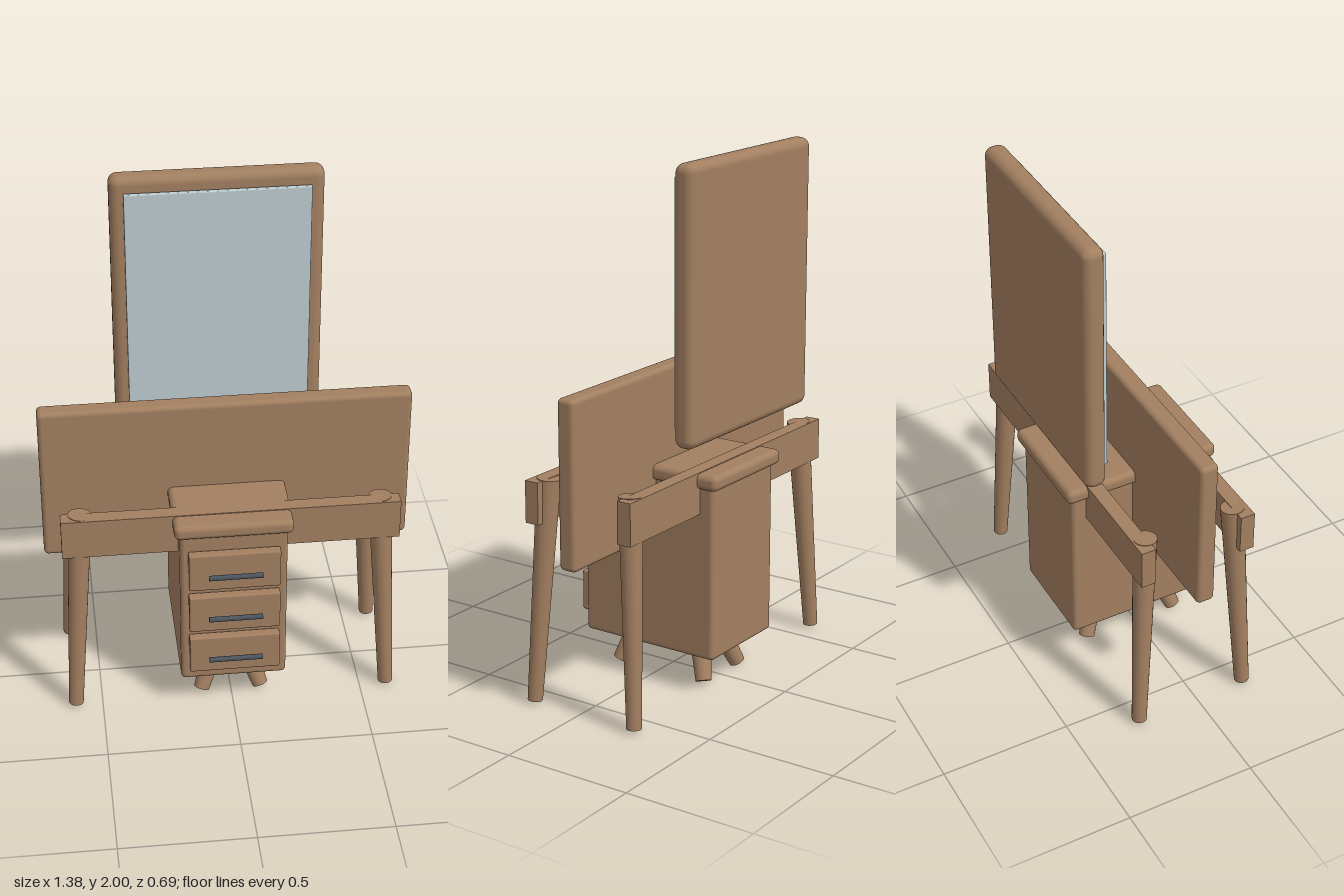
import * as THREE from 'three';
import { RoundedBoxGeometry } from 'three/addons/geometries/RoundedBoxGeometry.js';

function material(name, color) {
  const m = new THREE.MeshStandardMaterial({ color });
  m.name = name;
  return m;
}

export function createModel() {
  const model = new THREE.Group();
  model.name = 'dressingTable';
  const wood = material('wood', 0xa27f60);
  const glass = material('mirrorGlass', 0xbecdd2);
  const metal = material('darkMetal', 0x4a545c);

  const add = (name, geometry, mat) => {
    const mesh = new THREE.Mesh(geometry, mat);
    mesh.name = name;
    model.add(mesh);
    return mesh;
  };

  // Box given by its [min, max] extents; radius 0 keeps the edges sharp
  const box = (name, [x0, x1], [y0, y1], [z0, z1], radius, mat = wood) => {
    const size = [x1 - x0, y1 - y0, z1 - z0];
    const geometry = radius ? new RoundedBoxGeometry(...size, 4, radius) : new THREE.BoxGeometry(...size);
    add(name, geometry, mat).position.set((x0 + x1) / 2, (y0 + y1) / 2, (z0 + z1) / 2);
  };

  // Tapered round leg between two points
  const leg = (name, top, bottom, rTop, rBottom) => {
    const a = new THREE.Vector3(...top), b = new THREE.Vector3(...bottom);
    const dir = a.clone().sub(b);
    const mesh = add(name, new THREE.CylinderGeometry(rTop, rBottom, dir.length(), 24), wood);
    mesh.position.copy(a).add(b).multiplyScalar(0.5);
    mesh.quaternion.setFromUnitVectors(new THREE.Vector3(0, 1, 0), dir.normalize());
  };

  // Upright panel
  box('panel', [-0.69, 0.69], [0.585, 1.21], [-0.06, 0.012], 0.018);

  // Mirror
  box('mirrorFrame', [-0.388, 0.388], [1.0, 2.0], [-0.342, -0.26], 0.033);
  box('mirrorGlass', [-0.338, 0.338], [1.055, 1.945], [-0.253, -0.235], 0.004, glass);

  // Drawer cabinet
  box('cabinet', [-0.2, 0.2], [0.145, 0.82], [-0.31, 0.265], 0.018);
  box('cabinetTop', [-0.22, 0.22], [0.802, 0.86], [-0.333, 0.284], 0.022);
  for (const y of [0.667, 0.477, 0.287]) {
    box('drawerFront', [-0.17, 0.17], [y - 0.079, y + 0.079], [0.267, 0.304], 0.007);
    const handle = add('drawerHandle', new THREE.CylinderGeometry(0.01, 0.01, 0.2, 16), metal);
    handle.rotation.z = Math.PI / 2;
    handle.position.set(0, y, 0.335);
  }

  // Front and back halves mirror about z = zMid
  const zMid = -0.024;
  for (const s of [1, -1]) {
    const z = d => zMid + s * d;
    const rail = z(0.201);
    box('rail', [-0.627, 0.627], [0.705, 0.863], [rail - 0.028, rail + 0.028], 0);
    for (const side of [1, -1]) {
      leg('tableLeg', [side * 0.555, 0.862, z(0.178)], [side * 0.602, 0.018, z(0.222)], 0.044, 0.028);
      leg('cabinetFoot', [side * 0.066, 0.15, z(0.144)], [side * 0.114, 0.018, z(0.19)], 0.039, 0.03);
    }
  }
  return model;
}
